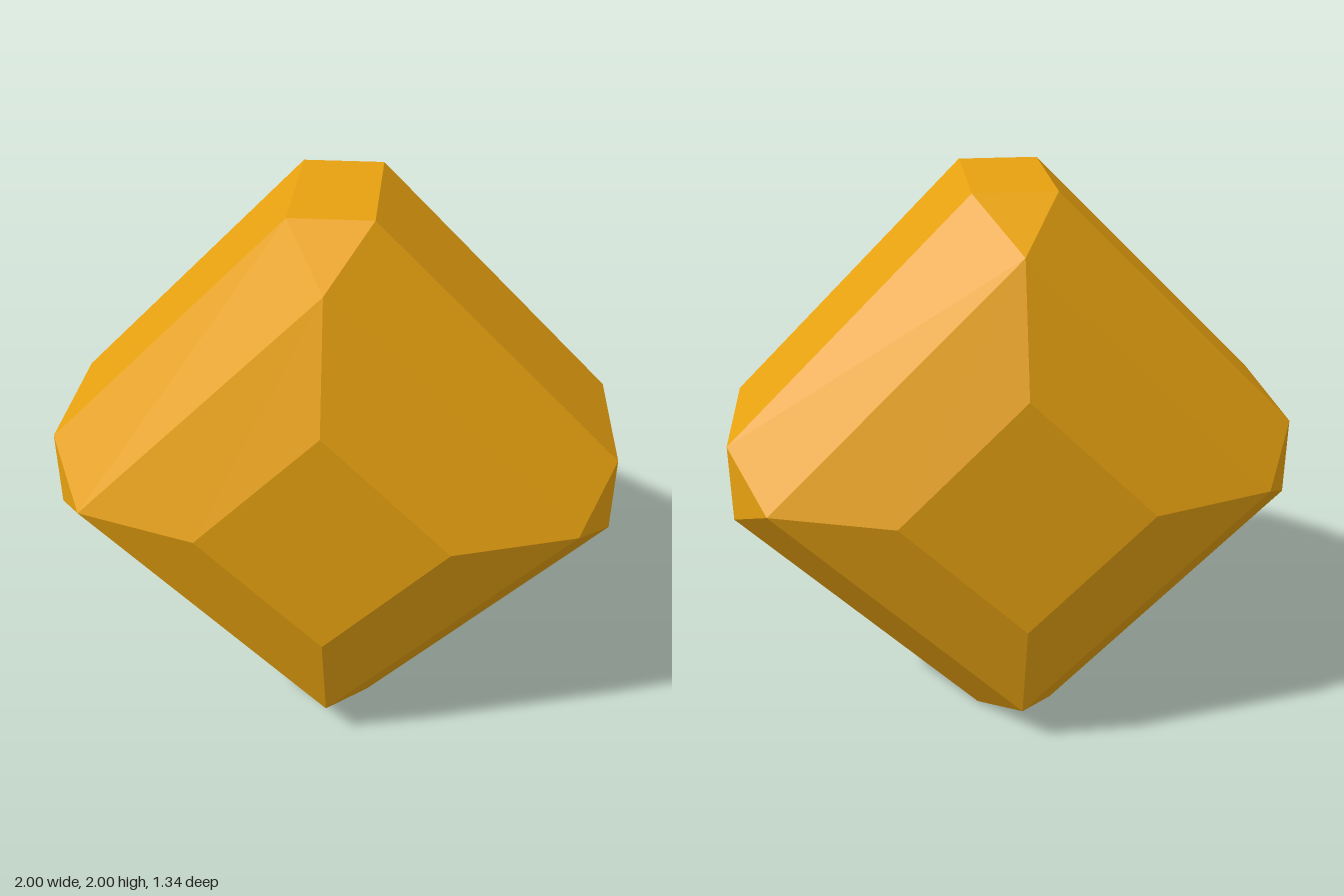
import * as THREE from 'three';
import { ConvexGeometry } from 'three/addons/geometries/ConvexGeometry.js';

export function createModel() {
  const group = new THREE.Group();
  group.name = 'facetedGem';

  const gold = new THREE.MeshStandardMaterial({ color: 0xeea611 });
  gold.name = 'amber gold';

  const points = [];
  // Four corners of a diamond in the xy plane
  const diamond = (r, z) => {
    for (const s of [-1, 1]) {
      points.push(new THREE.Vector3(s * r, 1, z), new THREE.Vector3(0, 1 + s * r, z));
    }
  };
  // Diamond with its four tips cut off
  const cutDiamond = (r, cut, z) => {
    for (const s of [-1, 1]) for (const t of [-1, 1]) {
      points.push(new THREE.Vector3(s * r, 1 + t * cut, z), new THREE.Vector3(t * cut, 1 + s * r, z));
    }
  };

  // Girdle, bevel and flat table, mirrored front and back
  for (const side of [-1, 1]) {
    cutDiamond(1, 0.142, side * 0.27);
    diamond(0.858, side * 0.538);
    diamond(0.43, side * 0.672);
  }

  const gem = new THREE.Mesh(new ConvexGeometry(points), gold);
  gem.name = 'gemBody';
  group.add(gem);
  return group;
}
